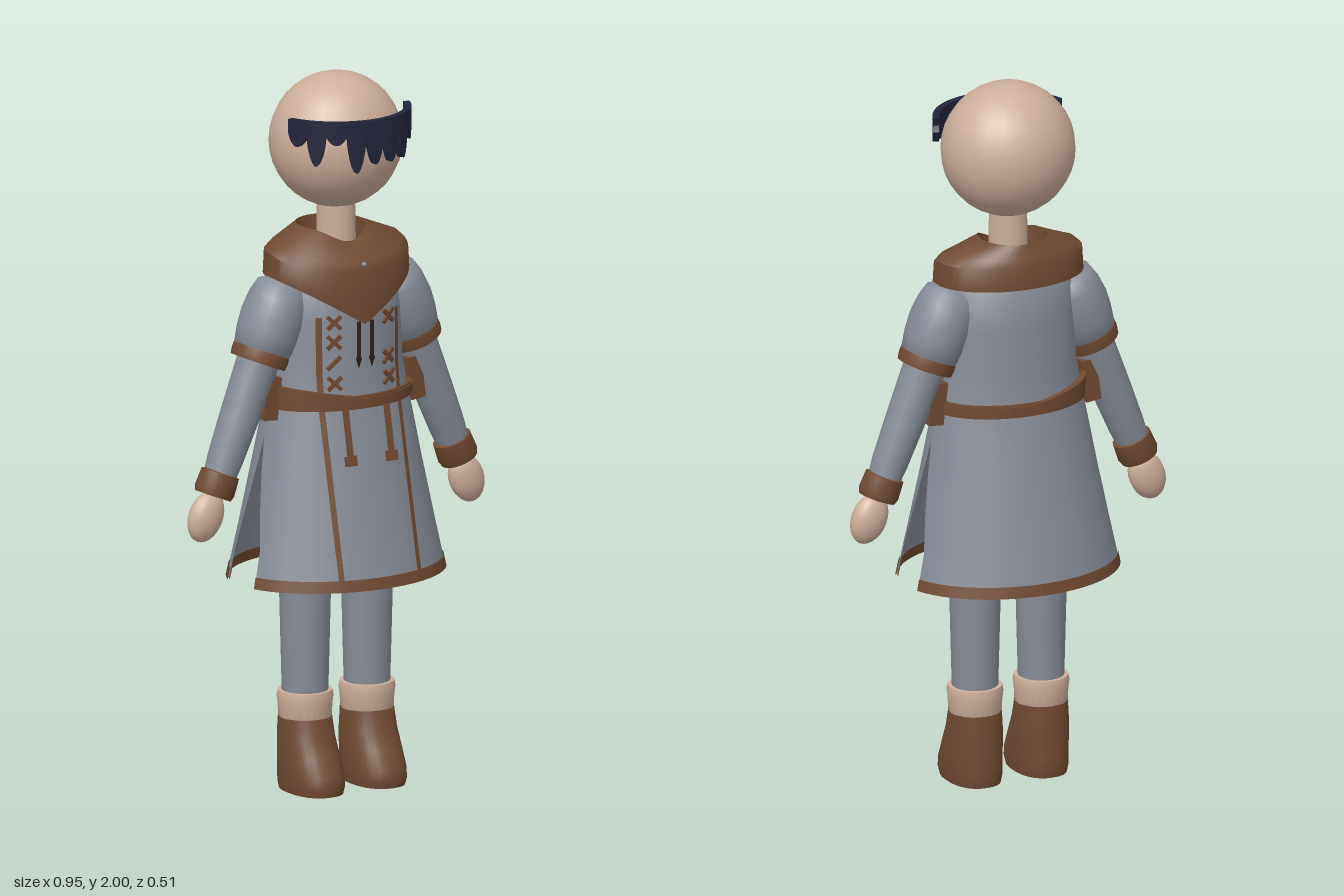
import * as THREE from 'three';
import { mergeVertices, toCreasedNormals } from 'three/addons/utils/BufferGeometryUtils.js';

const mat = (name, color) => {
  const m = new THREE.MeshStandardMaterial({ color, side: THREE.DoubleSide });
  m.name = name;
  return m;
};

// Grid surface: f(u, row) -> [x, y, z], u runs 0..1 counter-clockwise, rows run upward
function surf(nu, rows, f, crease) {
  const pos = [], idx = [];
  for (let j = 0; j < rows; j++) for (let i = 0; i <= nu; i++) pos.push(...f(i / nu, j));
  for (let j = 0; j < rows - 1; j++) for (let i = 0; i < nu; i++) {
    const a = j * (nu + 1) + i, d = a + nu + 1;
    idx.push(a, a + 1, d + 1, a, d + 1, d);
  }
  let g = new THREE.BufferGeometry();
  g.setAttribute('position', new THREE.Float32BufferAttribute(pos, 3));
  g.setIndex(idx);
  g = mergeVertices(g, 1e-5);
  g.computeVertexNormals();
  return crease ? toCreasedNormals(g, crease) : g;
}

const lathe = (pts, crease = 0.6, n = 24) =>
  toCreasedNormals(new THREE.LatheGeometry(pts.map(p => new THREE.Vector2(...p)), n), crease);

// Half width and half depth of the tunic by height
const BODY = [[0.6, 0.315, 0.25], [0.85, 0.262, 0.197], [1.1, 0.213, 0.146], [1.2, 0.195, 0.139],
  [1.33, 0.19, 0.14], [1.45, 0.18, 0.13], [1.5, 0.1, 0.08], [1.51, 0.03, 0.03]];
function body(y) {
  let k = 0;
  while (k < BODY.length - 2 && y > BODY[k + 1][0]) k++;
  const [a, b] = [BODY[k], BODY[k + 1]], t = (y - a[0]) / (b[0] - a[0]);
  return [a[1] + (b[1] - a[1]) * t, a[2] + (b[2] - a[2]) * t];
}
const frontZ = (x, y) => {
  const [rx, rz] = body(y);
  return rz * Math.sqrt(1 - (x / rx) ** 2);
};

export function createModel() {
  const root = new THREE.Group();
  const skin = mat('skin', 0xcdae9b), cloth = mat('grey cloth', 0x868c97), leather = mat('brown leather', 0x714a31);
  const hair = mat('dark hair', 0x23263b), cord = mat('dark cord', 0x2e2019);
  const add = (name, geo, m, x = 0, y = 0, z = 0, parent = root) => {
    const mesh = new THREE.Mesh(geo, m);
    mesh.name = name;
    mesh.position.set(x, y, z);
    parent.add(mesh);
    return mesh;
  };
  const box = (w, h, d) => new THREE.BoxGeometry(w, h, d);

  // Head, neck and scalloped fringe
  add('head', new THREE.SphereGeometry(0.187, 24, 18), skin, 0, 1.812, 0).scale.set(1, 1.005, 0.95);
  add('neck', new THREE.CylinderGeometry(0.052, 0.055, 0.17, 20), skin, 0, 1.575, 0);
  const depth = [0.05, 0.1, 0.04, 0.12, 0.1, 0.1, 0.1, 0.06, 0.05];
  add('fringe', surf(90, 5, (u, j) => {
    const t = (u - 0.5) * 2.5, k = Math.min(8, Math.floor(u * 9)), s = Math.sin(Math.PI * (u * 9 - k));
    const low = 1.865 - (depth[k] - 0.015) * Math.pow(Math.max(0, s), 0.7);
    const outer = j === 0 || j === 1 || j === 4, r = outer ? 0.206 : 0.188;
    return [Math.sin(t) * r, j === 1 || j === 2 ? 1.905 : low, Math.cos(t) * r];
  }, 0.7), hair);

  // Torso
  const torsoY = [1.06, 1.1, 1.2, 1.33, 1.45, 1.5, 1.51];
  add('torso', surf(40, torsoY.length, (u, j) => {
    const t = u * Math.PI * 2, [rx, rz] = body(torsoY[j]);
    return [Math.sin(t) * rx, torsoY[j], Math.cos(t) * rz];
  }), cloth);

  // Skirt panels split at both sides, with a hem
  const panel = (side, ys, out) => surf(24, ys.length, (u, j) => {
    const y = ys[j], [rx, rz] = body(y);
    const half = Math.PI / 2 - 0.265 * Math.min(1, Math.max(0, (1.0 - y) / 0.3));
    const t = (side > 0 ? 0 : Math.PI) + (u * 2 - 1) * half;
    return [Math.sin(t) * (rx + out), y, Math.cos(t) * (rz + out)];
  });
  for (const s of [1, -1]) {
    const n = s > 0 ? 'front' : 'back';
    add(n + 'Skirt', panel(s, [0.6, 0.7, 0.8, 0.9, 1.0, 1.1], 0), cloth);
    add(n + 'Hem', panel(s, [0.598, 0.63], 0.003), leather);
    add(n + 'HemInside', panel(s, [0.598, 0.63], -0.003), leather);
  }

  // Cowl with pointed front
  add('cowl', surf(48, 5, (u, j) => {
    const t = u * Math.PI * 2, s = Math.sin(t), c = Math.cos(t), f = Math.max(0, c);
    if (j === 0) return [s * 0.217, c > 0 ? 1.32 + 0.13 * Math.abs(s) : 1.45, c * 0.15];
    if (j === 1) return [s * 0.213, 1.515 - 0.045 * f, c * 0.15];
    if (j === 2) return [s * 0.19, 1.535 - 0.04 * f, c * 0.14];
    const dip = 0.035 * f ** 4;
    return j === 3 ? [s * 0.095, 1.572 - dip, c * 0.098 - 0.028] : [s * 0.085, 1.5 - dip, c * 0.088 - 0.025];
  }, 0.7), leather);
  add('cowlStud', new THREE.SphereGeometry(0.007, 10, 8), cloth, 0, 1.487, 0.144);

  // Belt and the slanting sash
  const band = (h, out, lift) => surf(48, 5, (u, j) => {
    const t = u * Math.PI * 2, [rx, rz] = body(1.1);
    const o = j === 0 || j === 1 || j === 4 ? out : -0.004;
    const y = 1.103 + lift * Math.max(0, -Math.sin(t)) + (j === 1 || j === 2 ? h : -h);
    return [Math.sin(t) * (rx + o), y, Math.cos(t) * (rz + o)];
  }, 0.6);
  add('belt', band(0.018, 0.009, 0), leather);
  add('sash', band(0.013, 0.013, 0.035), leather);

  // Front trim and hanging belt ends
  for (const s of [1, -1]) {
    const ys = [0.61, 0.73, 0.85, 0.97, 1.1, 1.2, 1.33, 1.345];
    add('frontTrim', surf(1, ys.length, (u, j) => {
      const x = s * 0.125 + (u - 0.5) * 0.015;
      return [x, ys[j], frontZ(x, ys[j]) + 0.005];
    }), leather);
    const tab = new THREE.Group();
    tab.name = 'beltEnd';
    tab.position.set(s * 0.066, 1.09, 0.153);
    tab.rotation.x = -0.2;
    add('strap', box(0.016, 0.14, 0.008), leather, 0, -0.07, 0, tab);
    add('strapTip', box(0.032, 0.028, 0.014), leather, 0, -0.143, 0, tab);
    root.add(tab);
    // Chest cords
    add('cord', box(0.008, 0.11, 0.008), cord, s * 0.021, 1.275, 0.15);
    add('cordTip', new THREE.ConeGeometry(0.009, 0.03, 8), cord, s * 0.021, 1.213, 0.15).rotation.x = Math.PI;
    // Hip pouch
    add('pouch', box(0.045, 0.12, 0.09), leather, s * 0.232, 1.118, 0).rotation.z = s * 0.12;
  }

  // Cross stitches, one of them a single stroke
  const stitches = [[-1, 1.33], [-1, 1.275], [-1, 1.217, true], [-1, 1.16], [1, 1.33], [1, 1.217], [1, 1.16]];
  for (const [s, y, single] of stitches)
    for (const a of single ? [1] : [1, -1]) {
      const x = s * 0.087;
      const m = add('stitch', box(0.052, 0.011, 0.007), leather, x, y, frontZ(x, y) + 0.004);
      m.rotation.set(0, s * 0.3, a * 0.75, 'YXZ');
    }

  for (const s of [1, -1]) {
    // Arm, hanging outward from the shoulder
    const arm = new THREE.Group();
    arm.name = s > 0 ? 'leftArm' : 'rightArm';
    arm.position.set(s * 0.17, 1.42, 0);
    arm.rotation.z = s * 0.386;
    root.add(arm);
    add('sleeve', lathe([[0.06, -0.21], [0.077, -0.2], [0.087, -0.14], [0.09, -0.09], [0.085, -0.04],
      [0.073, 0], [0.04, 0.02], [0, 0.025]], 1.2), cloth, 0, 0, 0, arm);
    add('sleeveCuff', lathe([[0.055, -0.22], [0.078, -0.22], [0.081, -0.2], [0.079, -0.18], [0.06, -0.18]]),
      leather, 0, 0, 0, arm);
    add('forearm', lathe([[0.042, -0.58], [0.05, -0.5], [0.055, -0.38], [0.06, -0.2]]), cloth, 0, 0, 0, arm);
    add('wristCuff', lathe([[0.03, -0.605], [0.053, -0.605], [0.058, -0.59], [0.055, -0.54], [0.04, -0.535]]),
      leather, 0, 0, 0, arm).scale.z = 0.92;
    add('hand', new THREE.SphereGeometry(1, 18, 14), skin, 0, -0.665, 0, arm).scale.set(0.052, 0.073, 0.036);

    // Leg, boot cuff and boot
    const leg = new THREE.Group();
    leg.name = s > 0 ? 'leftLeg' : 'rightLeg';
    leg.position.x = s * 0.1;
    root.add(leg);
    add('trouser', lathe([[0.063, 0.25], [0.067, 0.4], [0.072, 0.6], [0.075, 0.8], [0.07, 1.02], [0, 1.03]]),
      cloth, 0, 0, 0, leg);
    add('bootCuff', lathe([[0.066, 0.195], [0.073, 0.205], [0.075, 0.24], [0.078, 0.262], [0.075, 0.278], [0.06, 0.278]]),
      skin, 0, 0, 0, leg);
    // Boot rings: height, half width, heel z, toe z
    const rings = [[0, 0, 0.03, 0.03], [0, 0.072, -0.077, 0.138], [0.02, 0.076, -0.081, 0.144], [0.05, 0.077, -0.08, 0.138],
      [0.1, 0.076, -0.078, 0.112], [0.15, 0.074, -0.076, 0.086], [0.205, 0.07, -0.073, 0.073]];
    add('boot', surf(28, rings.length, (u, j) => {
      const [y, w, z0, z1] = rings[j], t = u * Math.PI * 2;
      const p = v => Math.sign(v) * Math.pow(Math.abs(v), 0.85);
      return [p(Math.sin(t)) * w, y, (z0 + z1) / 2 + p(Math.cos(t)) * (z1 - z0) / 2];
    }, 0.9), leather, 0, 0, 0, leg);
  }
  return root;
}
